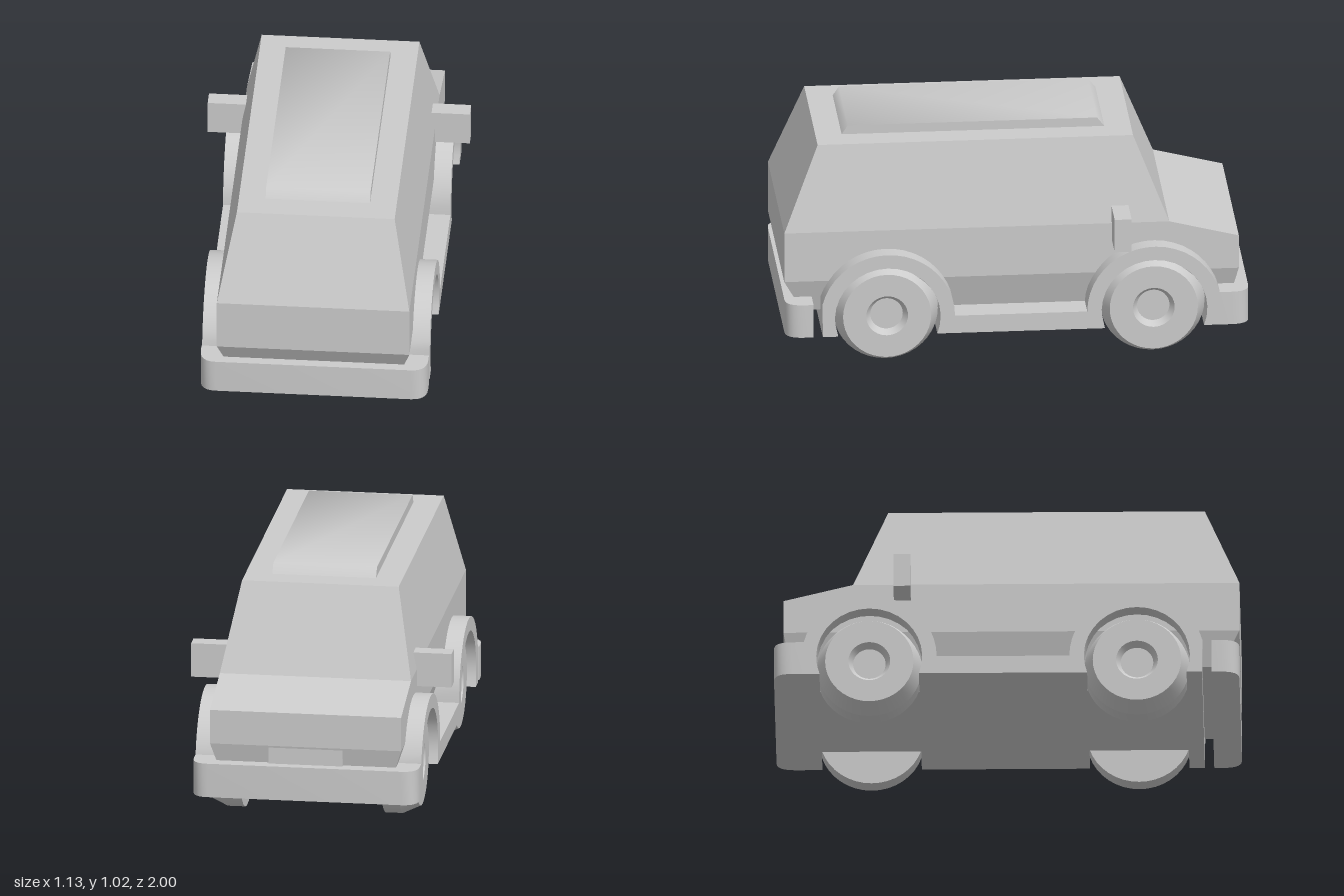
import * as THREE from 'three';
import { toCreasedNormals } from 'three/addons/utils/BufferGeometryUtils.js';

const material = new THREE.MeshStandardMaterial({ color: 0xcccccc });

function add(parent, name, geometry) {
  const mesh = new THREE.Mesh(geometry, material);
  mesh.name = name;
  parent.add(mesh);
  return mesh;
}

function box(x0, x1, y0, y1, z0, z1) {
  return new THREE.BoxGeometry(x1 - x0, y1 - y0, z1 - z0)
    .translate((x0 + x1) / 2, (y0 + y1) / 2, (z0 + z1) / 2);
}

// Stacks four-cornered levels [half width, z+, y at z+, z-, y at z-], bottom to top.
function loft(levels) {
  const rings = levels.map(([x, zb, yb, zf, yf]) => [[x, yb, zb], [x, yf, zf], [-x, yf, zf], [-x, yb, zb]]);
  const pos = [];
  const quad = (a, b, c, d) => pos.push(...a, ...b, ...c, ...a, ...c, ...d);
  for (let i = 0; i < rings.length - 1; i++) {
    for (let k = 0; k < 4; k++) {
      const n = (k + 1) % 4;
      quad(rings[i][k], rings[i][n], rings[i + 1][n], rings[i + 1][k]);
    }
  }
  const [a, b, c, d] = rings[0];
  quad(d, c, b, a);
  quad(...rings[rings.length - 1]);
  const geometry = new THREE.BufferGeometry();
  geometry.setAttribute('position', new THREE.Float32BufferAttribute(pos, 3));
  geometry.computeVertexNormals();
  return geometry;
}

// Extrudes a (z, y) side profile across x0..x1.
function sideExtrude(points, x0, x1, crease) {
  const shape = new THREE.Shape(points.map(([z, y]) => new THREE.Vector2(z, y)));
  const geometry = new THREE.ExtrudeGeometry(shape, { depth: x1 - x0, bevelEnabled: false });
  geometry.rotateY(-Math.PI / 2).translate(x1, 0, 0);
  return toCreasedNormals(geometry, crease);
}

const AXLES = [0.56, -0.59];
const ARCH_Y = 0.23;

function arc(z, r, from, to, steps = 20) {
  return Array.from({ length: steps + 1 }, (_, i) => {
    const a = from + (to - from) * i / steps;
    return [z + r * Math.cos(a), ARCH_Y + r * Math.sin(a)];
  });
}

// Sill with both wheel arches as one side profile.
function archProfile() {
  const shoulder = Math.asin(0.07 / 0.29);
  const foot = Math.asin(0.08 / 0.228);
  const [rear, front] = AXLES;
  return [
    [0.84, 0.15],
    ...arc(rear, 0.29, shoulder, Math.PI),
    ...arc(front, 0.29, 0, Math.PI - shoulder),
    [-0.88, 0.15],
    ...arc(front, 0.228, Math.PI + foot, -foot),
    ...arc(rear, 0.228, Math.PI + foot, -foot),
  ];
}

// Bumper with rounded outer corners, reaching from |z| = inner to 1.
function bumper(inner) {
  const s = new THREE.Shape();
  s.moveTo(-0.49, -inner);
  s.lineTo(-0.49, -0.92);
  s.quadraticCurveTo(-0.49, -1, -0.42, -1);
  s.lineTo(0.42, -1);
  s.quadraticCurveTo(0.49, -1, 0.49, -0.92);
  s.lineTo(0.49, -inner);
  const geometry = new THREE.ExtrudeGeometry(s, { depth: 0.15, bevelEnabled: false, curveSegments: 6 });
  geometry.rotateX(-Math.PI / 2).translate(0, 0.15, 0);
  return toCreasedNormals(geometry, 0.6);
}

function wheelGeometry() {
  const profile = [
    [0, -0.075], [0.225, -0.075], [0.225, 0], [0.19, 0.075],
    [0.09, 0.075], [0.07, 0.045], [0, 0.045],
  ].map(([r, h]) => new THREE.Vector2(r, h));
  const geometry = new THREE.LatheGeometry(profile, 40).rotateZ(-Math.PI / 2);
  return toCreasedNormals(geometry, 0.4);
}

export function createModel() {
  const van = new THREE.Group();
  van.name = 'van';

  // Body shell and bonnet
  add(van, 'cabin', loft([
    [0.367, 0.92, 0.23, -0.66, 0.23],
    [0.415, 1.0, 0.38, -0.66, 0.38],
    [0.415, 1.0, 0.605, -0.66, 0.605],
    [0.34, 0.85, 0.98, -0.51, 0.98],
  ]));
  add(van, 'bonnet', loft([
    [0.367, -0.66, 0.23, -0.925, 0.23],
    [0.415, -0.66, 0.38, -0.96, 0.38],
    [0.415, -0.66, 0.605, -0.96, 0.53],
  ]));
  add(van, 'noseCentre', box(-0.16, 0.16, 0.28, 0.385, -0.958, -0.88));
  add(van, 'roofPanel', sideExtrude(
    [[0.74, 0.975], [0.71, 1.02], [-0.365, 1.02], [-0.4, 0.975]], -0.225, 0.225, 1.02));

  // Bumpers and floor
  add(van, 'rearBumper', bumper(0.84)).rotation.y = Math.PI;
  add(van, 'frontBumper', bumper(0.88));
  add(van, 'floor', box(-0.305, 0.305, 0.15, 0.24, -0.88, 0.84));

  // Parts on both sides
  const wheel = wheelGeometry();
  for (const [side, s] of [['left', 1], ['right', -1]]) {
    const [x0, x1] = s > 0 ? [0.305, 0.49] : [-0.49, -0.305];
    add(van, side + 'SillAndArches', sideExtrude(archProfile(), x0, x1, 0.5));
    add(van, side + 'Mirror', box(-0.0925, 0.0925, 0.53, 0.68, -0.485, -0.412)).position.x = s * 0.4725;
    AXLES.forEach((z, i) => {
      const mesh = add(van, side + (i ? 'FrontWheel' : 'RearWheel'), wheel);
      mesh.position.set(s * 0.38, 0.225, z);
      mesh.rotation.y = s > 0 ? 0 : Math.PI;
    });
  }
  return van;
}
